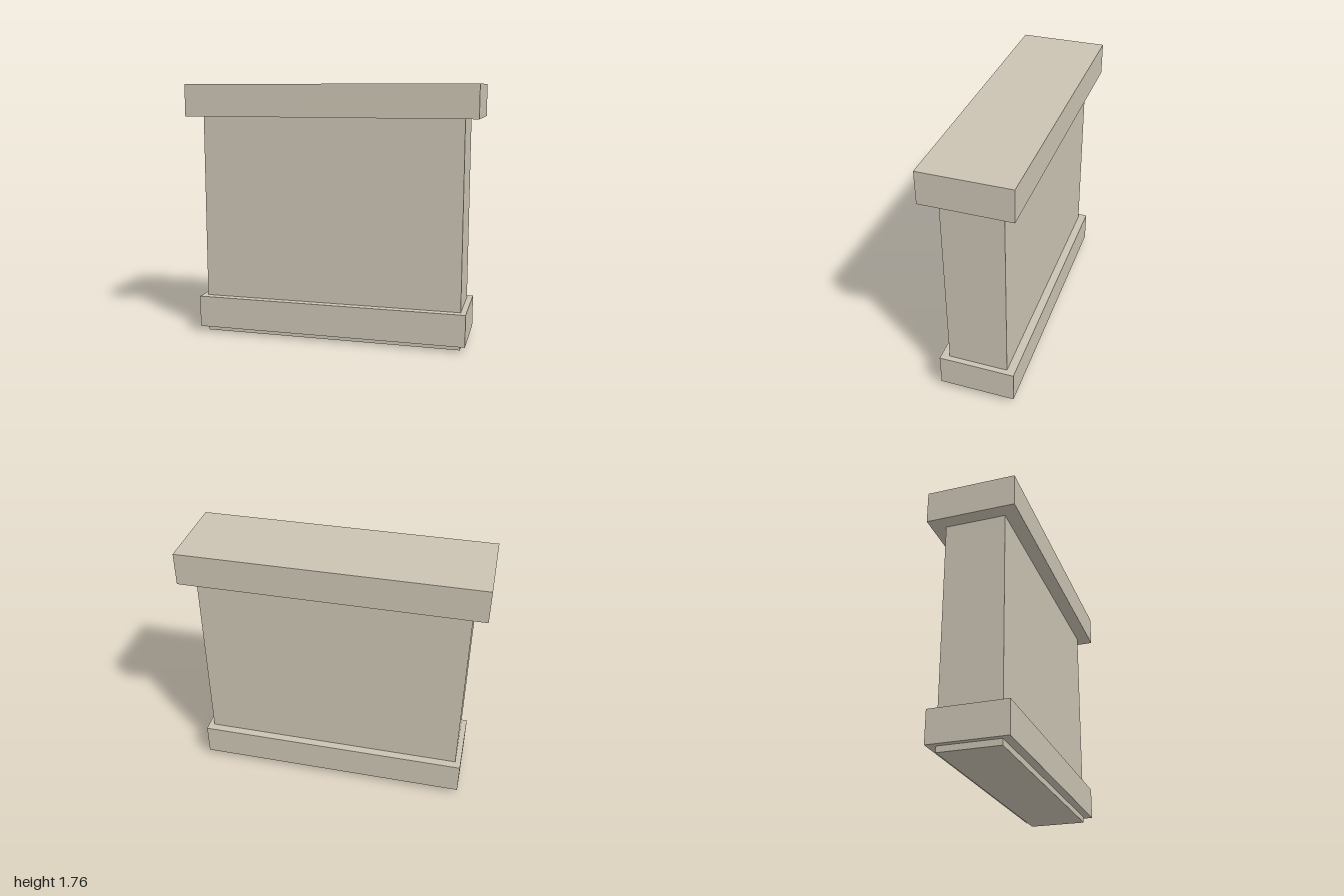
import * as THREE from 'three';

export function createModel() {
  const group = new THREE.Group();
  const stone = new THREE.MeshStandardMaterial({ color: 0xcac3b2 });
  stone.name = 'pale stone';

  // Adds a block centred on x and z, spanning y0 to y1
  const block = (name, width, depth, y0, y1) => {
    const mesh = new THREE.Mesh(new THREE.BoxGeometry(width, y1 - y0, depth), stone);
    mesh.name = name;
    mesh.position.y = (y0 + y1) / 2;
    group.add(mesh);
  };

  block('wall', 1.81, 0.405, 0, 1.54);
  block('baseMoulding', 1.886, 0.518, 0.04, 0.26);
  block('capstone', 2, 0.594, 1.54, 1.76);

  return group;
}
